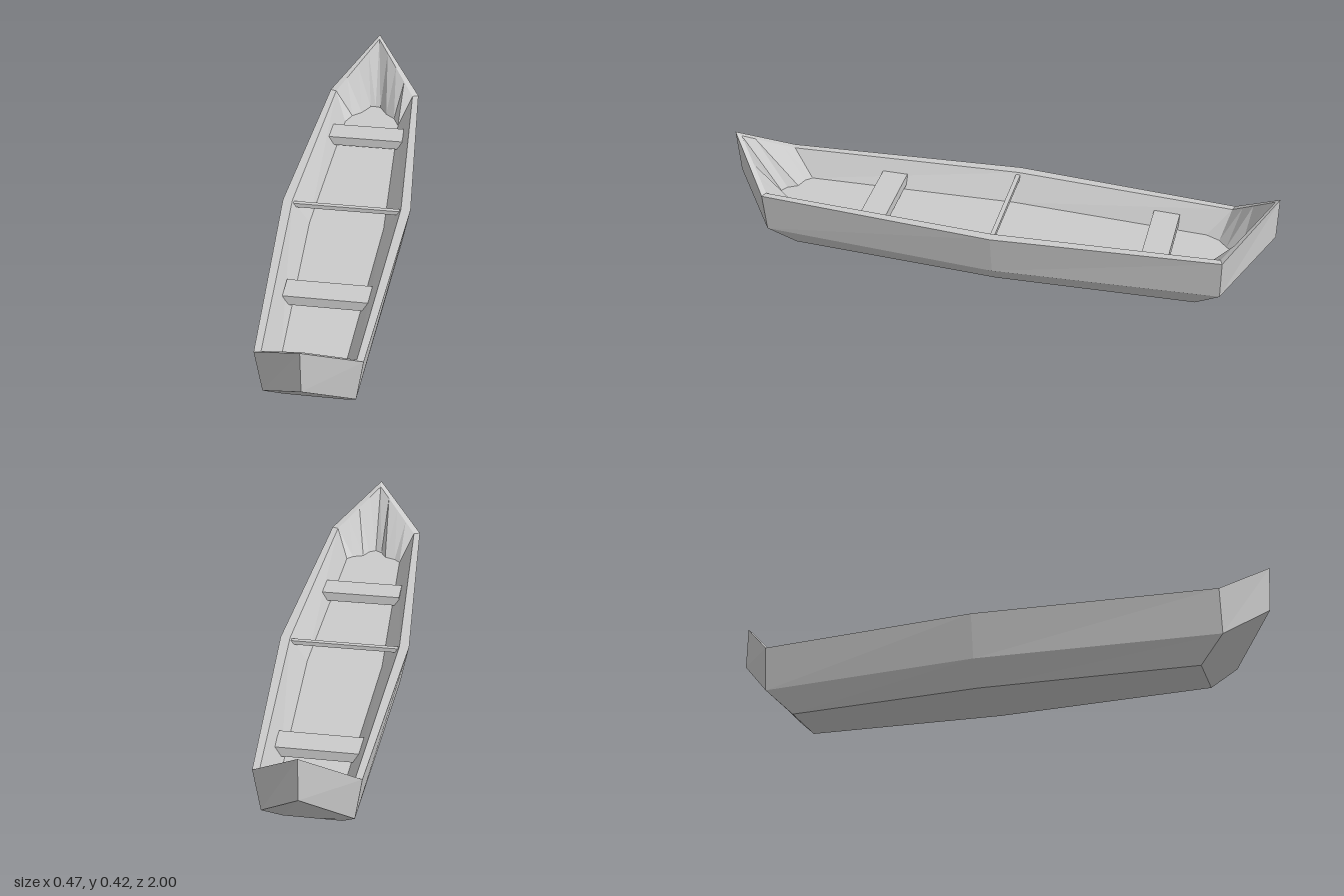
import * as THREE from 'three';

const material = new THREE.MeshStandardMaterial({ color: 0xcccccc, flatShading: true, side: THREE.DoubleSide });
const FLOOR = 0.15, RIM = 0.243, CHINE = 0.083;

// Collects polygons given for the +x half and mirrors each one to the -x half.
function mirroredMesh(name, build) {
  const pos = [];
  const fan = (p) => {
    for (let i = 1; i < p.length - 1; i++) pos.push(...p[0], ...p[i], ...p[i + 1]);
  };
  build((points, flip = false) => {
    const p = flip ? [...points].reverse() : points;
    fan(p);
    fan([...p].reverse().map(([x, y, z]) => [-x, y, z]));
  });
  const geometry = new THREE.BufferGeometry();
  geometry.setAttribute('position', new THREE.Float32BufferAttribute(pos, 3));
  geometry.computeVertexNormals();
  const mesh = new THREE.Mesh(geometry, material);
  mesh.name = name;
  return mesh;
}

// Half cross-section: keel, bottom edge, chine, outer rim, inner rim, floor edge, floor centre.
function section([bottom, chine, rim, inner, floor], z, zBottom, zInner) {
  return [
    [0, 0, zBottom], [bottom, 0, zBottom], [chine, CHINE, z], [rim, RIM, z],
    [inner, RIM, zInner], [floor, FLOOR, zBottom], [0, FLOOR, zBottom],
  ];
}

const END = [0.1, 0.154, 0.178, 0.155, 0.107];
const stations = [
  section(END, 0.838, 0.75, 0.83),
  section([0.133, 0.203, 0.234, 0.199, 0.137], -0.03, -0.03, -0.03),
  section(END, -0.838, -0.75, -0.83),
];

const ends = [
  { name: 'bow', s: stations[0], flip: false,
    low: [0, 0.222, 0.985], top: [0, 0.386, 0.995], inner: [0, 0.372, 0.972],
    floor: [[0.085, 0.772], [0.045, 0.785], [0.025, 0.82], [0, 0.835]] },
  { name: 'stern', s: stations[2], flip: true,
    low: [0, 0.262, -1], top: [0, 0.42, -1], inner: [0, 0.408, -0.985],
    floor: [[0.085, -0.8], [0.05, -0.83], [0.02, -0.88], [0, -0.883]] },
];

const mix = (a, b, t) => a.map((v, i) => v + (b[i] - v) * t);

function buildEnd({ name, s, flip, low, top, inner, floor }) {
  return mirroredMesh(name, (face) => {
    const [keel, bottom, chine, rim, rimInner, floorEdge, floorCentre] = s;
    face([low, chine, rim, top], flip);            // raised side
    face([keel, bottom, chine, low], flip);        // sloping underside
    face([rim, rimInner, inner, top], flip);       // rim edge
    const edge = [floorEdge, ...floor.map(([x, z]) => [x, FLOOR, z])];
    for (let k = 0; k < edge.length - 1; k++) {
      const n = edge.length - 1;
      const a = mix(rimInner, inner, k / n), b = mix(rimInner, inner, (k + 1) / n);
      face([a, edge[k], edge[k + 1], b], flip);    // inner wall
      face([floorCentre, edge[k + 1], edge[k]], flip); // floor tip
    }
  });
}

function crossPiece(name, width, height, depth, y, z) {
  const mesh = new THREE.Mesh(new THREE.BoxGeometry(width, height, depth), material);
  mesh.name = name;
  mesh.position.set(0, y, z);
  return mesh;
}

export function createModel() {
  const boat = new THREE.Group();
  boat.name = 'rowingBoat';

  // Hull sides, bottom, rim and floor between the two ends
  boat.add(mirroredMesh('hull', (face) => {
    for (let i = 0; i < 2; i++) {
      const a = stations[i], b = stations[i + 1];
      for (let j = 0; j < a.length - 1; j++) face([a[j], b[j], b[j + 1], a[j + 1]]);
    }
  }));

  // Pointed, raised ends
  ends.forEach((end) => boat.add(buildEnd(end)));

  // Benches and middle brace
  boat.add(crossPiece('frontSeat', 0.296, 0.036, 0.095, 0.182, 0.433));
  boat.add(crossPiece('rearSeat', 0.288, 0.036, 0.095, 0.182, -0.598));
  boat.add(crossPiece('middleBrace', 0.394, 0.016, 0.016, 0.228, -0.03));

  return boat;
}
